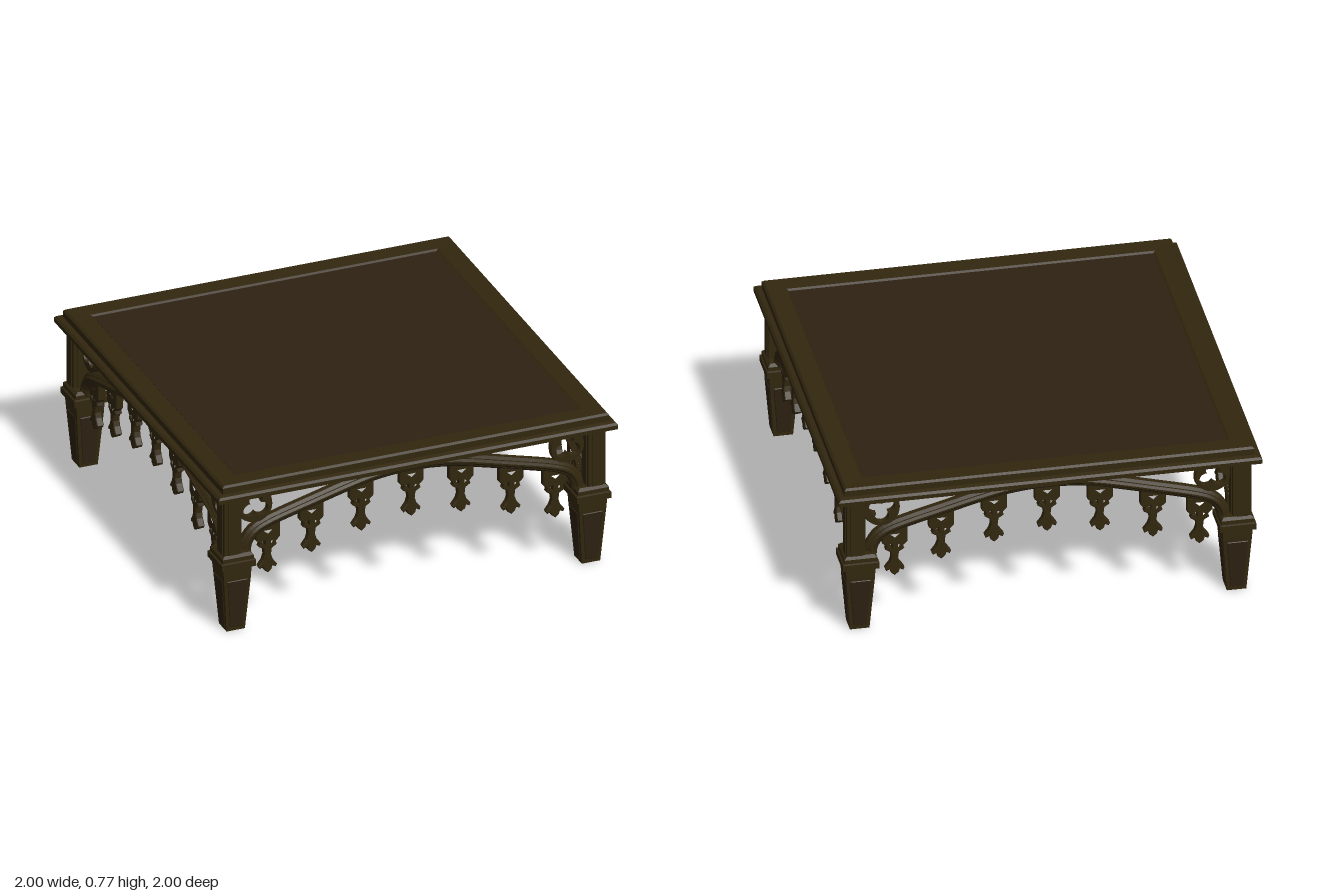
import * as THREE from 'three';

const wood = new THREE.MeshStandardMaterial({ color: 0x32270f });
const panelWood = new THREE.MeshStandardMaterial({ color: 0x2e2112 });
const rawWood = new THREE.MeshStandardMaterial({ color: 0x573f2e });
wood.name = 'dark wood';
panelWood.name = 'panel wood';
rawWood.name = 'raw underside wood';

function add(parent, name, geometry, material, x = 0, y = 0, z = 0) {
  const mesh = new THREE.Mesh(geometry, material);
  mesh.name = name;
  mesh.position.set(x, y, z);
  parent.add(mesh);
  return mesh;
}

// Square moulding: a profile of [half width, y] turned in four flat steps
function squareTurned(profile) {
  const points = profile.map(([r, y]) => new THREE.Vector2(r * Math.SQRT2, y));
  const geometry = new THREE.LatheGeometry(points, 4).rotateY(Math.PI / 4).toNonIndexed();
  geometry.computeVertexNormals();
  return geometry;
}

// Flat cut-out with bevelled edges, centred on z = 0
function cutOut(shape, depth, bevel, curveSegments = 12) {
  return new THREE.ExtrudeGeometry(shape, {
    depth: depth - 2 * bevel, bevelEnabled: bevel > 0, bevelThickness: bevel,
    bevelSize: bevel, bevelOffset: -bevel, bevelSegments: 1, curveSegments,
  }).translate(0, 0, -depth / 2 + bevel);
}

const vectors = (list) => list.map(([x, y]) => new THREE.Vector2(x, y));

// Arched band with an S-shaped foot at each end
function archGeometry(half, depth, bevel) {
  const left = [[-0.835, 0.385], [-0.825, 0.435], [-0.785, 0.488], [-0.7, 0.527],
    [-0.5, 0.582], [-0.26, 0.644], [-0.12, 0.667]];
  const right = left.map(([x, y]) => [-x, y]).reverse();
  const curve = new THREE.SplineCurve(vectors([...left, [0, 0.672], ...right]));
  const upper = [], lower = [];
  for (let i = 0; i <= 60; i++) {
    const p = curve.getPoint(i / 60), t = curve.getTangent(i / 60);
    const n = new THREE.Vector2(-t.y, t.x).multiplyScalar(half);
    upper.push(p.clone().add(n));
    lower.push(p.clone().sub(n));
  }
  return cutOut(new THREE.Shape([...lower, ...upper.reverse()]), depth, bevel);
}

// Disc pierced by a three-lobed hole
function trefoilGeometry() {
  const shape = new THREE.Shape().absarc(0, 0, 0.082, 0, Math.PI * 2);
  const hole = [], d = 0.034, r = 0.033;
  for (let i = 0; i < 48; i++) {
    const angle = -i / 48 * Math.PI * 2;
    let a = (angle - Math.PI / 2) % (Math.PI * 2 / 3);
    if (a < -Math.PI / 3) a += Math.PI * 2 / 3;
    const radius = d * Math.cos(a) + Math.sqrt(r * r - (d * Math.sin(a)) ** 2);
    hole.push(new THREE.Vector2(Math.cos(angle) * radius, Math.sin(angle) * radius));
  }
  shape.holes.push(new THREE.Path(hole));
  return cutOut(shape, 0.035, 0, 32);
}

// Hanging ornament: forked bracket above, three-pointed leaf below
function pendantGeometry() {
  const half = [[0.06, 0.035], [0.06, -0.055], [0.04, -0.075], [0.045, -0.092], [0.02, -0.108],
    [0.016, -0.14], [0.024, -0.165], [0.046, -0.195], [0.04, -0.208], [0.024, -0.2], [0.018, -0.218]];
  const mirrored = half.map(([x, y]) => [-x, y]).reverse();
  const shape = new THREE.Shape(vectors([...half, [0, -0.232], ...mirrored]));
  shape.holes.push(new THREE.Path(vectors([[0, -0.035], [-0.028, -0.008], [0.028, -0.008]])));
  for (const s of [1, -1]) {
    shape.holes.push(new THREE.Path(vectors([[0.012 * s, -0.062], [0.03 * s, -0.07], [0.012 * s, -0.088]])));
  }
  return cutOut(shape, 0.035, 0.004);
}

export function createModel() {
  const model = new THREE.Group();
  model.name = 'gothicLowTable';

  // Table top: moulded frame around a slightly sunken panel
  const top = new THREE.Group();
  top.name = 'tableTop';
  model.add(top);
  add(top, 'topFrame', squareTurned([[0.86, 0.702], [1, 0.702], [1, 0.722], [0.99, 0.732], [0.968, 0.736],
    [0.968, 0.766], [0.958, 0.775], [0.87, 0.772], [0.86, 0.764], [0.86, 0.702]]), wood);
  add(top, 'topPanel', new THREE.BoxGeometry(1.72, 0.04, 1.72), panelWood, 0, 0.745, 0);
  add(top, 'undersidePanel', new THREE.BoxGeometry(1.72, 0.008, 1.72), rawWood, 0, 0.721, 0);

  // Legs: tapered foot, stepped collar and slim ribbed post
  const foot = squareTurned([[0, 0], [0.046, 0], [0.068, 0.285], [0.068, 0.305], [0, 0.305]]);
  const footPanel = new THREE.Shape(vectors([[-0.03, 0.02], [0.03, 0.02], [0.05, 0.27], [-0.05, 0.27]]));
  const panelGeometry = cutOut(footPanel, 0.008, 0.003);
  const collar = squareTurned([[0, 0.305], [0.07, 0.305], [0.07, 0.33], [0.086, 0.337], [0.086, 0.368],
    [0.078, 0.372], [0.078, 0.392], [0.064, 0.405], [0, 0.405]]);
  const post = new THREE.BoxGeometry(0.086, 0.31, 0.086);
  const rib = new THREE.BoxGeometry(0.05, 0.29, 0.096);
  for (const sx of [1, -1]) for (const sz of [1, -1]) {
    const leg = new THREE.Group();
    leg.name = 'leg';
    leg.position.set(sx * 0.89, 0, sz * 0.89);
    model.add(leg);
    add(leg, 'foot', foot, wood);
    add(leg, 'collar', collar, wood);
    add(leg, 'post', post, wood, sx * 0.022, 0.55, sz * 0.022);
    add(leg, 'postRib', rib, wood, sx * 0.022, 0.55, sz * 0.022);
    add(leg, 'postRib', rib, wood, sx * 0.022, 0.55, sz * 0.022).rotation.y = Math.PI / 2;
    for (let i = 0; i < 4; i++) {
      const holder = new THREE.Group();
      holder.name = 'footPanel';
      holder.rotation.y = i * Math.PI / 2;
      leg.add(holder);
      add(holder, 'raisedPanel', panelGeometry, panelWood, 0, 0, 0.046).rotation.x = Math.atan(0.022 / 0.285);
    }
  }

  // Four aprons: arch, roundels and hanging ornaments
  const band = archGeometry(0.03, 0.05, 0.012);
  const bead = archGeometry(0.014, 0.072, 0.01);
  const roundel = trefoilGeometry();
  const rim = new THREE.TorusGeometry(0.077, 0.011, 8, 32);
  const pendant = pendantGeometry();
  const hangers = [[0, 0.64], [0.25, 0.612], [0.5, 0.55], [0.72, 0.488]];
  for (let side = 0; side < 4; side++) {
    const apron = new THREE.Group();
    apron.name = 'apron';
    apron.rotation.y = side * Math.PI / 2;
    model.add(apron);
    add(apron, 'arch', band, wood, 0, 0, 0.9);
    add(apron, 'archBead', bead, wood, 0, 0, 0.9);
    for (const s of [1, -1]) {
      const disc = add(apron, 'trefoilRoundel', roundel, wood, s * 0.781, 0.614, 0.9);
      // One roundel on the back and one on the right-hand side hang upside down
      if (s < 0 && side >= 2) disc.rotation.z = Math.PI;
      if (s > 0 && side === 3) disc.rotation.z = Math.PI;
      if (s < 0 && side === 3) disc.rotation.z = 0;
      add(apron, 'roundelRim', rim, wood, s * 0.781, 0.614, 0.9);
      for (const [x, y] of hangers) {
        if (x === 0 && s < 0) continue;
        add(apron, 'pendant', pendant, wood, s * x, y, 0.9);
      }
    }
  }
  return model;
}
